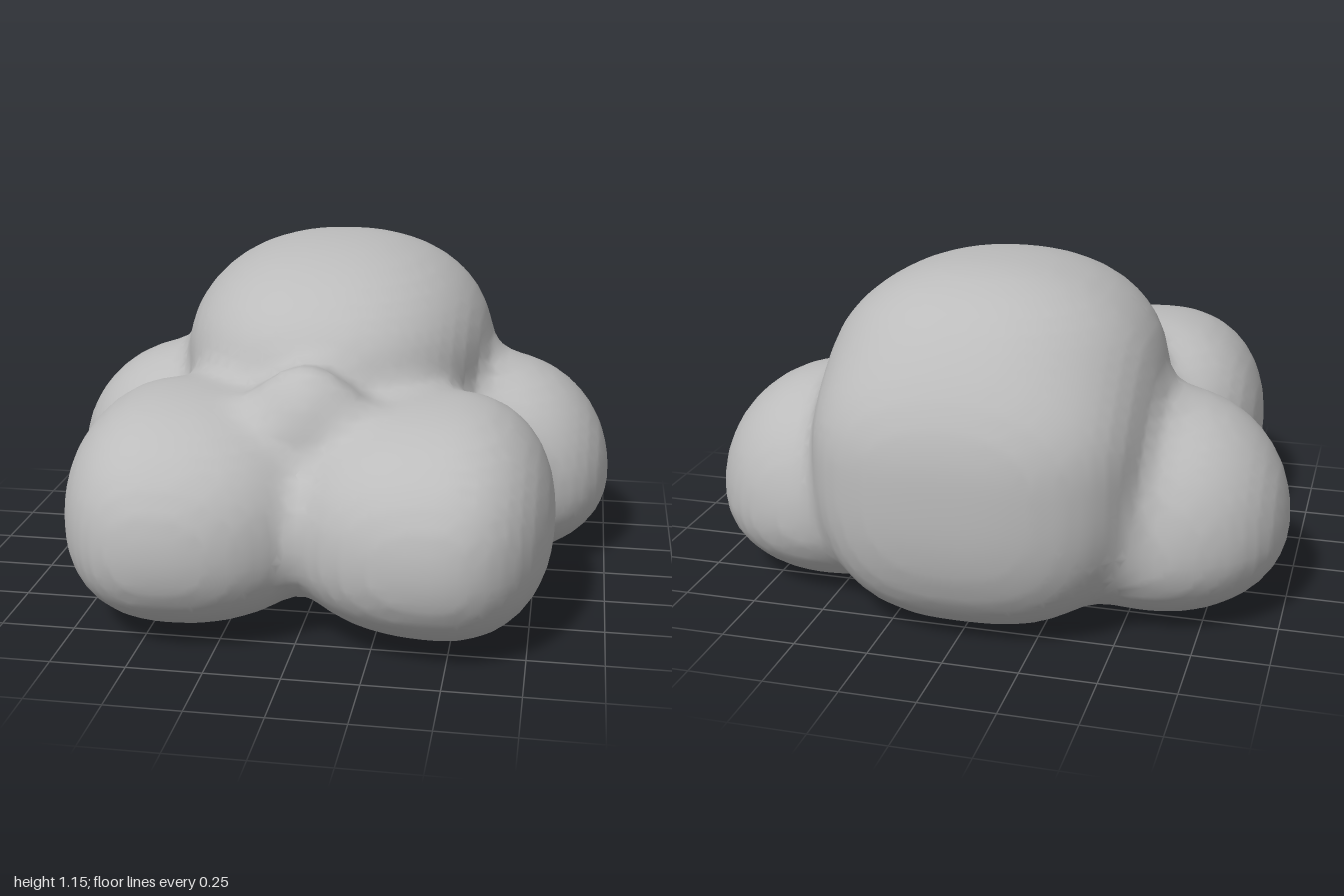
import * as THREE from 'three';

// c: centre, lo / hi: radii towards the negative / positive axes,
// n: roundness (2 = ellipsoid, more = boxier)
const LUMPS = [
  // filling between all the puffs
  { c: [0, 0.36, 0.08], lo: [0.68, 0.38, 0.5], hi: [0.68, 0.34, 0.55], n: 2.2 },
  // wide back puff and the tall crown sloping forward from it
  { c: [0, 0.55, -0.55], lo: [0.56, 0.55, 0.44], hi: [0.54, 0.4, 0.6], n: 2.6 },
  { c: [0, 0.74, -0.36], lo: [0.57, 0.7, 0.54], hi: [0.55, 0.42, 0.77], n: 2.2 },
  // front puffs
  { c: [-0.42, 0.36, 0.42], lo: [0.4, 0.36, 0.42], hi: [0.52, 0.42, 0.565], n: 2.25 },
  { c: [0.46, 0.36, 0.42], lo: [0.56, 0.36, 0.42], hi: [0.36, 0.41, 0.565], n: 2.25 },
  // side puffs
  { c: [-0.56, 0.29, -0.29], lo: [0.44, 0.3, 0.44], hi: [0.45, 0.44, 0.43], n: 2.1 },
  { c: [0.56, 0.29, -0.29], lo: [0.45, 0.3, 0.44], hi: [0.44, 0.44, 0.43], n: 2.1 },
  // small peak between the front puffs
  { c: [0, 0.7, 0.53], lo: [0.22, 0.2, 0.2], hi: [0.22, 0.19, 0.14], n: 1.6 },
];
const BLEND = 0.1;
const FLOOR = 0.005;
const CELL = 0.04;
const ORIGIN = [-1.08, -0.06, -1.08];
const COUNT = [55, 34, 55];

// Rough distance to one lump
function lumpDistance(l, p) {
  const v = p.map((a, i) => a - l.c[i]);
  let sum = 0;
  v.forEach((a, i) => { sum += Math.abs(a / (a < 0 ? l.lo[i] : l.hi[i])) ** l.n; });
  return Math.hypot(...v) * (1 - 1 / Math.max(sum ** (1 / l.n), 1e-4));
}

// Distance to the whole cloud: lumps melt together and stand on a flat base
function cloudDistance(p) {
  let d = 10;
  for (const l of LUMPS) {
    const e = lumpDistance(l, p);
    const h = Math.max(BLEND - Math.abs(d - e), 0) / BLEND;
    d = Math.min(d, e) - h * h * BLEND / 4;
  }
  return Math.max(d, FLOOR - p[1]);
}

// Wraps one seamless skin around the cloud: a vertex in each grid cell
// that the surface crosses, and a quad around each grid edge it crosses
function skinGeometry() {
  const stride = [1, COUNT[0], COUNT[0] * COUNT[1]];
  const values = [];
  const cells = [];
  for (let z = 0; z < COUNT[2]; z++)
    for (let y = 0; y < COUNT[1]; y++)
      for (let x = 0; x < COUNT[0]; x++) {
        const g = [x, y, z];
        cells.push(g);
        values.push(cloudDistance(g.map((a, i) => ORIGIN[i] + a * CELL)));
      }

  const positions = [];
  const vertexOf = new Map();
  cells.forEach((g, id) => {
    if (g.some((a, i) => a === COUNT[i] - 1)) return;
    const sum = [0, 0, 0];
    let hits = 0;
    for (let corner = 0; corner < 8; corner++) {
      const o = [corner & 1, (corner >> 1) & 1, corner >> 2];
      const from = id + o[0] * stride[0] + o[1] * stride[1] + o[2] * stride[2];
      for (let a = 0; a < 3; a++) {
        if (o[a]) continue;
        const v0 = values[from], v1 = values[from + stride[a]];
        if ((v0 < 0) === (v1 < 0)) continue;
        for (let i = 0; i < 3; i++) sum[i] += o[i];
        sum[a] += v0 / (v0 - v1);
        hits++;
      }
    }
    if (!hits) return;
    vertexOf.set(id, positions.length / 3);
    positions.push(...g.map((a, i) => ORIGIN[i] + (a + sum[i] / hits) * CELL));
  });

  const index = [];
  cells.forEach((g, id) => {
    if (g.some((a, i) => a === 0 || a === COUNT[i] - 1)) return;
    for (let a = 0; a < 3; a++) {
      const inside = values[id] < 0;
      if (inside === (values[id + stride[a]] < 0)) continue;
      const b = stride[(a + 1) % 3], c = stride[(a + 2) % 3];
      const q = [id - b - c, id - c, id, id - b].map((k) => vertexOf.get(k));
      if (!inside) q.reverse();
      index.push(q[0], q[1], q[2], q[0], q[2], q[3]);
    }
  });

  const geo = new THREE.BufferGeometry();
  geo.setAttribute('position', new THREE.Float32BufferAttribute(positions, 3));
  geo.setIndex(index);
  geo.computeVertexNormals();
  return geo;
}

export function createModel() {
  const group = new THREE.Group();
  group.name = 'cloud';
  const grey = new THREE.MeshStandardMaterial({ color: 0xbcbcbc });
  grey.name = 'cloudGrey';
  const body = new THREE.Mesh(skinGeometry(), grey);
  body.name = 'cloudBody';
  group.add(body);
  return group;
}
